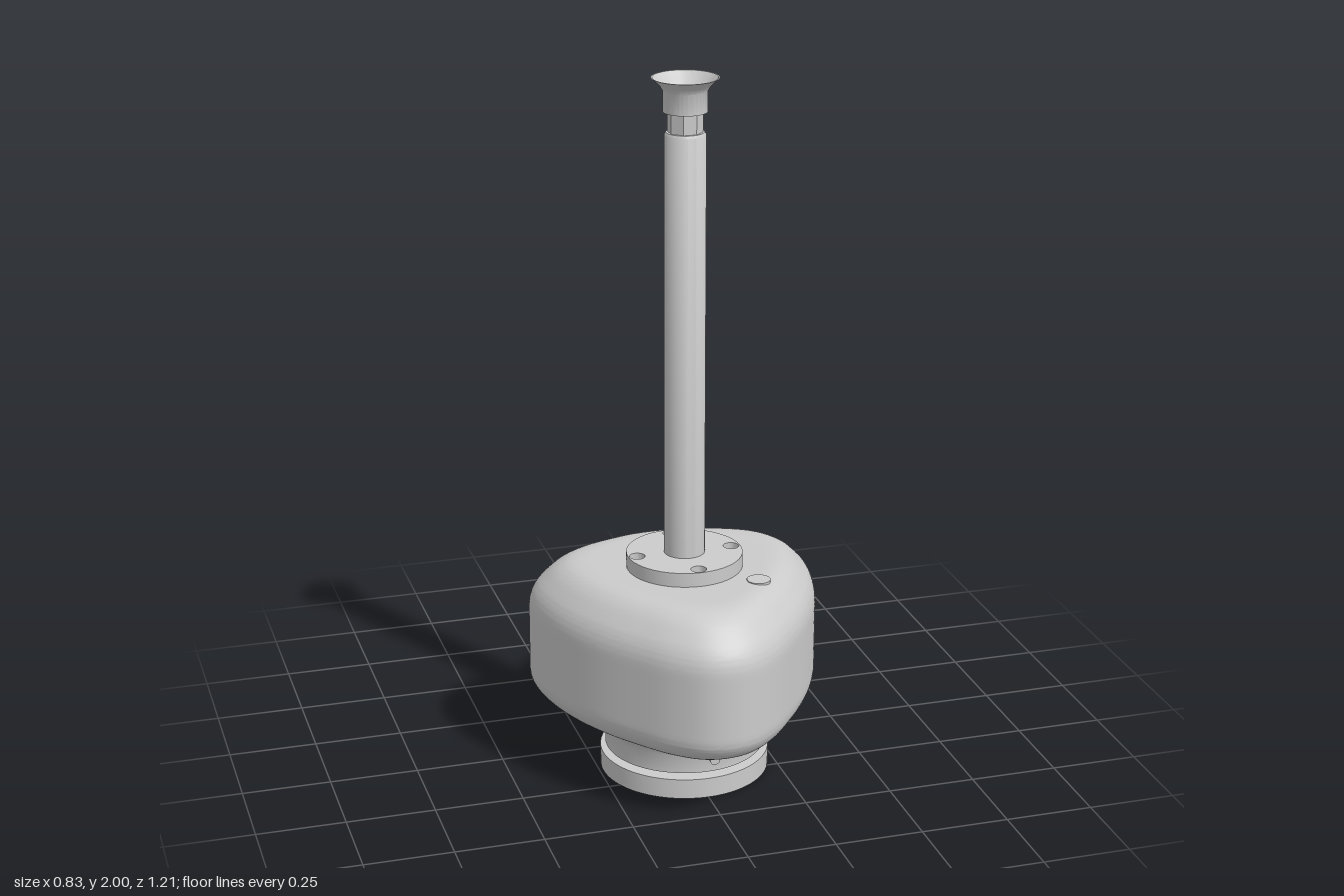
import * as THREE from 'three';
import { toCreasedNormals } from 'three/addons/utils/BufferGeometryUtils.js';

const AXIS_Z = 0.15; // the post, neck and base disc share this axis
const BACK_Z = -0.19; // flat back of the housing

const mat = new THREE.MeshStandardMaterial({ color: 0xcccccc });
const thinMat = new THREE.MeshStandardMaterial({ color: 0xcccccc, side: THREE.DoubleSide });

export function createModel() {
  const model = new THREE.Group();

  const add = (name, geo, x = 0, y = 0, z = 0, material = mat) => {
    const mesh = new THREE.Mesh(geo, material);
    mesh.name = name;
    mesh.position.set(x, y, z);
    model.add(mesh);
    return mesh;
  };
  const lathe = (pts, seg = 64) => toCreasedNormals(
    new THREE.LatheGeometry(pts.map(p => new THREE.Vector2(...p)), seg), 0.6);
  // Plan shape drawn in (x, -z), raised to a plate of the given height
  const plate = (shape, depth) => {
    const geo = new THREE.ExtrudeGeometry(shape, { depth, bevelEnabled: false, curveSegments: 32 });
    return toCreasedNormals(geo.rotateX(-Math.PI / 2), 0.6);
  };
  const hole = (shape, x, y, r) => shape.holes.push(new THREE.Path().absarc(x, y, r, 0, Math.PI * 2, true));

  // Base plate: drilled disc running into a straight arm
  const a = Math.acos(0.175 / 0.24);
  const base = new THREE.Shape();
  base.moveTo(-0.175, 0.46);
  base.lineTo(-0.175, -AXIS_Z + 0.24 * Math.sin(a));
  base.absarc(0, -AXIS_Z, 0.24, Math.PI - a, Math.PI * 2 + a, false);
  base.lineTo(0.175, 0.46);
  hole(base, 0, -AXIS_Z, 0.075);
  for (let i = 0; i < 4; i++) {
    const t = i * Math.PI / 2;
    hole(base, 0.16 * Math.cos(t), -AXIS_Z + 0.16 * Math.sin(t), 0.016);
  }
  add('basePlate', plate(base, 0.058));

  // Foot bar with rounded ends and two bolt holes
  const foot = new THREE.Shape();
  foot.absarc(0.194, 0.53, 0.075, -Math.PI / 2, Math.PI / 2, false);
  foot.absarc(-0.194, 0.53, 0.075, Math.PI / 2, Math.PI * 1.5, false);
  for (const x of [-0.135, 0.135]) hole(foot, x, 0.53, 0.013);
  add('footBar', plate(foot, 0.07), 0, 0.007, 0);

  // Centre rib and end wall of the arm, extruded sideways from a side profile in (-z, y)
  const sideways = (pts, width) => {
    const shape = new THREE.Shape(pts.map(p => new THREE.Vector2(...p)));
    const geo = new THREE.ExtrudeGeometry(shape, { depth: width, bevelEnabled: false });
    return geo.translate(0, 0, -width / 2).rotateY(Math.PI / 2);
  };
  add('armRib', sideways([[0.08, 0.05], [0.44, 0.05], [0.44, 0.106], [0.118, 0.106], [0.08, 0.07]], 0.03));
  add('armEndWall', sideways(
    [[0.415, 0.05], [0.456, 0.05], [0.456, 0.106], [0.435, 0.106], [0.431, 0.075], [0.425, 0.063]], 0.36));
  for (const s of [-1, 1]) {
    add('armEdge', new THREE.BoxGeometry(0.008, 0.012, 0.42), s * 0.171, 0.06, -0.235);
  }

  // Neck under the housing, with three radial pins
  add('neck', lathe([[0, 0.072], [0.226, 0.072], [0.226, 0.125], [0.235, 0.145], [0.255, 0.162], [0.285, 0.178]]),
    0, 0, AXIS_Z);
  for (const deg of [-17, 90, 197]) {
    const t = deg * Math.PI / 180;
    const geo = new THREE.CylinderGeometry(0.014, 0.014, 0.1, 20).rotateZ(Math.PI / 2);
    const pin = add('neckPin', geo, 0.25 * Math.cos(t), 0.143, AXIS_Z + 0.25 * Math.sin(t));
    pin.rotation.y = -t;
  }

  add('housing', housingGeometry());

  // Access panel on the flat back, with corner screws
  add('accessPanel', new THREE.BoxGeometry(0.35, 0.22, 0.008), 0, 0.37, BACK_Z);
  for (const x of [-0.15, 0.15]) for (const y of [0.285, 0.455]) {
    add('panelScrew', new THREE.CylinderGeometry(0.006, 0.006, 0.012, 12).rotateX(Math.PI / 2), x, y, BACK_Z);
  }

  // Port in the sloping underside
  const port = new THREE.Group();
  port.name = 'undersidePort';
  port.add(new THREE.Mesh(new THREE.TorusGeometry(0.038, 0.005, 10, 32), mat));
  port.add(new THREE.Mesh(new THREE.CircleGeometry(0.036, 32), mat));
  port.position.set(0.33, 0.188, -0.04);
  port.lookAt(0.33 + 0.5, 0.188 - 0.85, -0.04 - 0.2);
  model.add(port);

  // Button and short marker bar on the top
  add('topButton', new THREE.CylinderGeometry(0.033, 0.033, 0.012, 32), 0.165, 0.606, 0.315);
  add('markerBar', new THREE.BoxGeometry(0.075, 0.008, 0.012), 0.14, 0.609, 0.02).rotation.y = Math.PI / 4;

  // Flange with four counterbored holes
  const flange = new THREE.Shape().absarc(0, -AXIS_Z, 0.163, 0, Math.PI * 2, false);
  for (let i = 0; i < 4; i++) {
    const t = i * Math.PI / 2;
    hole(flange, 0.137 * Math.cos(t), -AXIS_Z + 0.137 * Math.sin(t), 0.022);
    add('flangeScrew', new THREE.CylinderGeometry(0.021, 0.021, 0.03, 24),
      0.137 * Math.cos(t), 0.618, AXIS_Z + 0.137 * Math.sin(t));
  }
  add('flange', plate(flange, 0.047), 0, 0.603, 0);

  // Post, faceted spindle and flared cup
  add('post', lathe([[0, 0.6], [0.057, 0.6], [0.057, 1.845], [0.052, 1.853], [0, 1.853]], 40), 0, 0, AXIS_Z);
  const spindle = new THREE.CylinderGeometry(0.048, 0.048, 0.08, 8).rotateY(Math.PI / 8);
  add('spindle', toCreasedNormals(spindle, 0.3), 0, 1.885, AXIS_Z);
  add('cup', lathe([[0, 1.908], [0.06, 1.908], [0.06, 1.965], [0.07, 1.98], [0.092, 2],
    [0.088, 2], [0.062, 1.972], [0.042, 1.955], [0.042, 1.94], [0, 1.94]]), 0, 0, AXIS_Z, thinMat);
  add('cupNut', lathe([[0.03, 1.935], [0.03, 1.962], [0.014, 1.966], [0.014, 1.945], [0, 1.945]], 24),
    0, 0, AXIS_Z, thinMat);
  add('cupBolt', new THREE.CylinderGeometry(0.01, 0.01, 0.025, 6), 0, 1.955, AXIS_Z);

  return model;
}

// Rounded triangular housing: one plan outline scaled up a height profile, its back sliced flat
function housingGeometry() {
  const half = [[0.1, -0.218], [0.19, -0.195], [0.28, -0.163], [0.355, -0.115], [0.4, -0.05], [0.413, 0.01],
    [0.403, 0.1], [0.369, 0.21], [0.308, 0.33], [0.23, 0.44], [0.15, 0.533], [0.07, 0.59]];
  const ring = [[0, -0.225], ...half, [0, 0.604], ...half.map(([x, z]) => [-x, z]).reverse()];
  const outline = new THREE.CatmullRomCurve3(ring.map(([x, z]) => new THREE.Vector3(x, 0, z)), true);
  const N = 160;
  const pts = outline.getSpacedPoints(N).slice(0, N);

  // Height profile as (scale, y), bottom to top
  const profile = [[0.45, 0.168], [0.62, 0.168], [0.74, 0.174], [0.85, 0.19], [0.93, 0.21], [0.98, 0.236],
    [1, 0.27], [1, 0.36], [1, 0.46], [0.985, 0.5], [0.95, 0.53], [0.9, 0.555], [0.83, 0.583], [0.75, 0.602],
    [0.66, 0.609], [0.55, 0.609]];
  const levels = new THREE.SplineCurve(profile.map(p => new THREE.Vector2(...p))).getPoints(75);
  levels.unshift(new THREE.Vector2(0, 0.168));
  levels.push(new THREE.Vector2(0, 0.609));

  const position = [], index = [];
  levels.forEach((l, j) => {
    const s = Math.min(l.x, 1);
    pts.forEach((p, i) => {
      position.push(p.x * s, l.y, Math.max(BACK_Z, AXIS_Z + (p.z - AXIS_Z) * s));
      if (j === levels.length - 1) return;
      const a = j * N + i, b = j * N + (i + 1) % N;
      index.push(a, a + N, b, b, a + N, b + N);
    });
  });
  const geo = new THREE.BufferGeometry();
  geo.setAttribute('position', new THREE.Float32BufferAttribute(position, 3));
  geo.setIndex(index);
  return toCreasedNormals(geo, 0.4);
}
